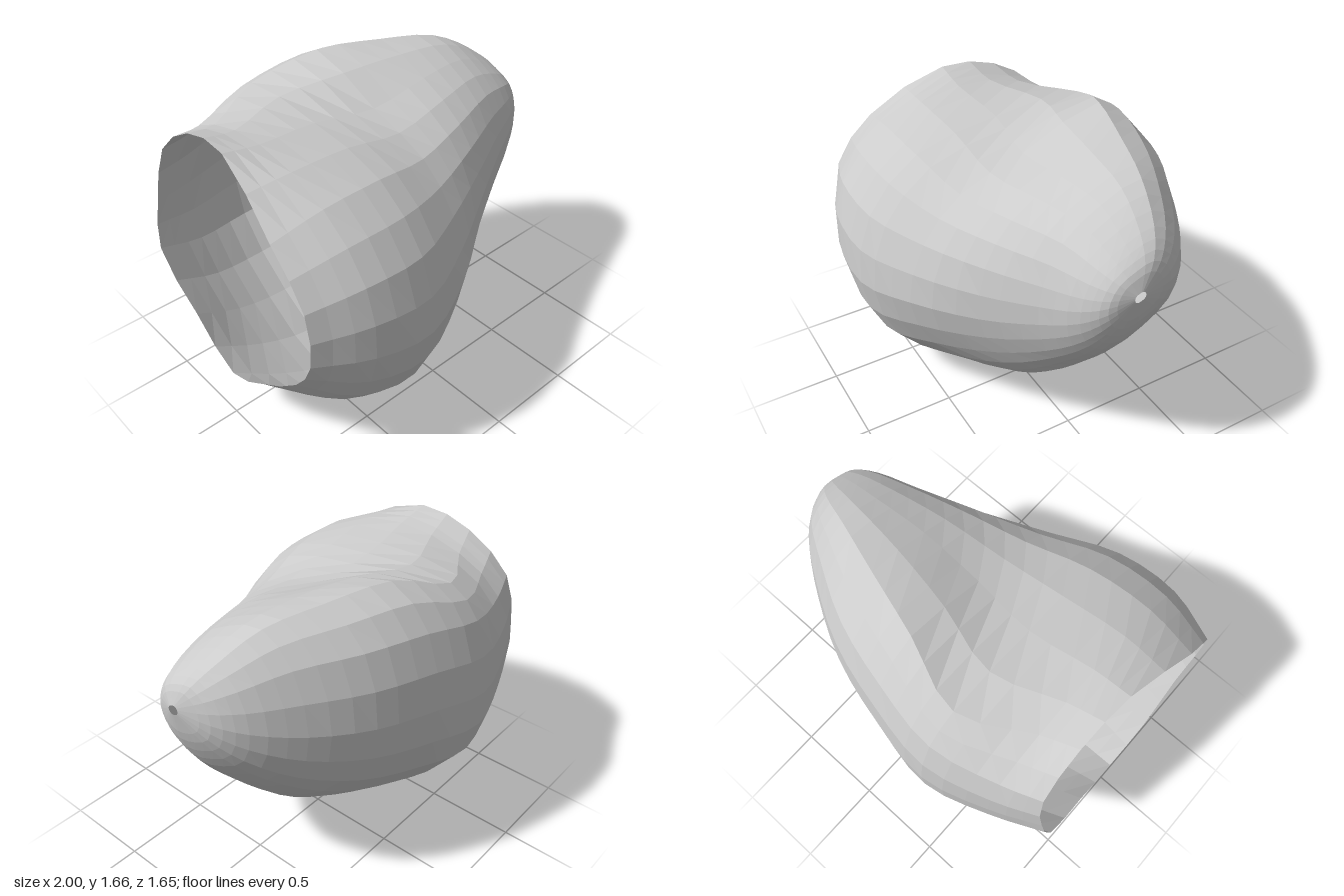
import * as THREE from 'three';

const SIDES = 24; // facets around the shell
const STEPS = 3;  // facet rows between neighbouring sections

// Cross-sections as z, y pairs: bottom, round the front, over the top, down the back.
const rim = [.02, .31, .3, .45, .55, .63, .67, .83, .65, 1.13, .43, 1.38, 0, 1.6, -.32, 1.555, -.57, 1.36, -.61, 1.05, -.57, .79, -.28, .52];
const neck = [.06, .13, .42, .24, .67, .45, .8, .8, .73, 1.17, .45, 1.44, 0, 1.565, -.38, 1.505, -.64, 1.34, -.72, 1, -.67, .65, -.35, .33];
const belly = [.08, .003, .42, .13, .7, .38, .815, .75, .72, 1.15, .43, 1.43, -.04, 1.525, -.56, 1.54, -.73, 1.39, -.82, 1, -.76, .6, -.4, .235];
const dent = [.05, .08, .35, .235, .57, .47, .68, .8, .58, 1.13, .36, 1.36, 0, 1.49, -.45, 1.655, -.68, 1.46, -.77, 1.06, -.7, .66, -.36, .31];
const shoulder = [.03, .29, .25, .4, .38, .59, .46, .85, .42, 1.15, .27, 1.38, 0, 1.54, -.34, 1.645, -.58, 1.48, -.67, 1.1, -.59, .74, -.3, .46];
const taper = [.01, .6, .16, .66, .25, .78, .3, .97, .28, 1.19, .18, 1.4, -.02, 1.54, -.24, 1.61, -.42, 1.47, -.51, 1.15, -.44, .87, -.23, .69];

// Fits the taper section into smaller bounds towards the tip.
const fit = (z0, z1, y0, y1) => taper.map((v, i) => i % 2
  ? THREE.MathUtils.mapLinear(v, .6, 1.61, y0, y1)
  : THREE.MathUtils.mapLinear(v, -.51, .3, z0, z1));

const sections = [
  [-1, rim], [-.7, neck], [-.35, belly], [0, dent], [.35, shoulder], [.65, taper],
  [.86, fit(-.35, .21, .86, 1.5)],
  [.96, fit(-.21, .13, 1.06, 1.4)],
  [1, fit(-.04, .02, 1.23, 1.285)],
];

// Smooth closed ring through one section; the open rim leans inward at the top, back and front.
function ringPoints([x, flat], index) {
  const pts = [];
  for (let i = 0; i < flat.length; i += 2) {
    const z = flat[i], y = flat[i + 1];
    const lean = index === 0 ? Math.max(z > .4 ? .02 : 0, .18 * (y - 1.05) - .08 * z) : 0;
    pts.push(new THREE.Vector3(x + lean, y, z));
  }
  const curve = new THREE.CatmullRomCurve3(pts, true);
  return Array.from({ length: SIDES }, (_, k) => curve.getPoint(k / SIDES));
}

function shellGeometry() {
  const rings = sections.map(ringPoints);
  const rows = (rings.length - 1) * STEPS;
  const positions = [], indices = [];

  // Lengthwise curves join the rings.
  const ribs = Array.from({ length: SIDES }, (_, k) =>
    new THREE.CatmullRomCurve3(rings.map(r => r[k])));
  for (let i = 0; i <= rows; i++)
    for (const rib of ribs) positions.push(...rib.getPoint(i / rows).toArray());

  // Skin between rows, left open at the rim and the tip hole.
  for (let i = 0; i < rows; i++)
    for (let k = 0; k < SIDES; k++) {
      const a = i * SIDES + k, b = i * SIDES + (k + 1) % SIDES;
      indices.push(a, a + SIDES, b, b, a + SIDES, b + SIDES);
    }

  const geometry = new THREE.BufferGeometry();
  geometry.setAttribute('position', new THREE.Float32BufferAttribute(positions, 3));
  geometry.setIndex(indices);
  geometry.computeVertexNormals();
  return geometry;
}

export function createModel() {
  const group = new THREE.Group();
  group.name = 'hollowShell';
  const shell = new THREE.Mesh(shellGeometry(), new THREE.MeshStandardMaterial({
    color: 0xcccccc, flatShading: true, side: THREE.DoubleSide,
  }));
  shell.name = 'shell';
  group.add(shell);
  return group;
}
